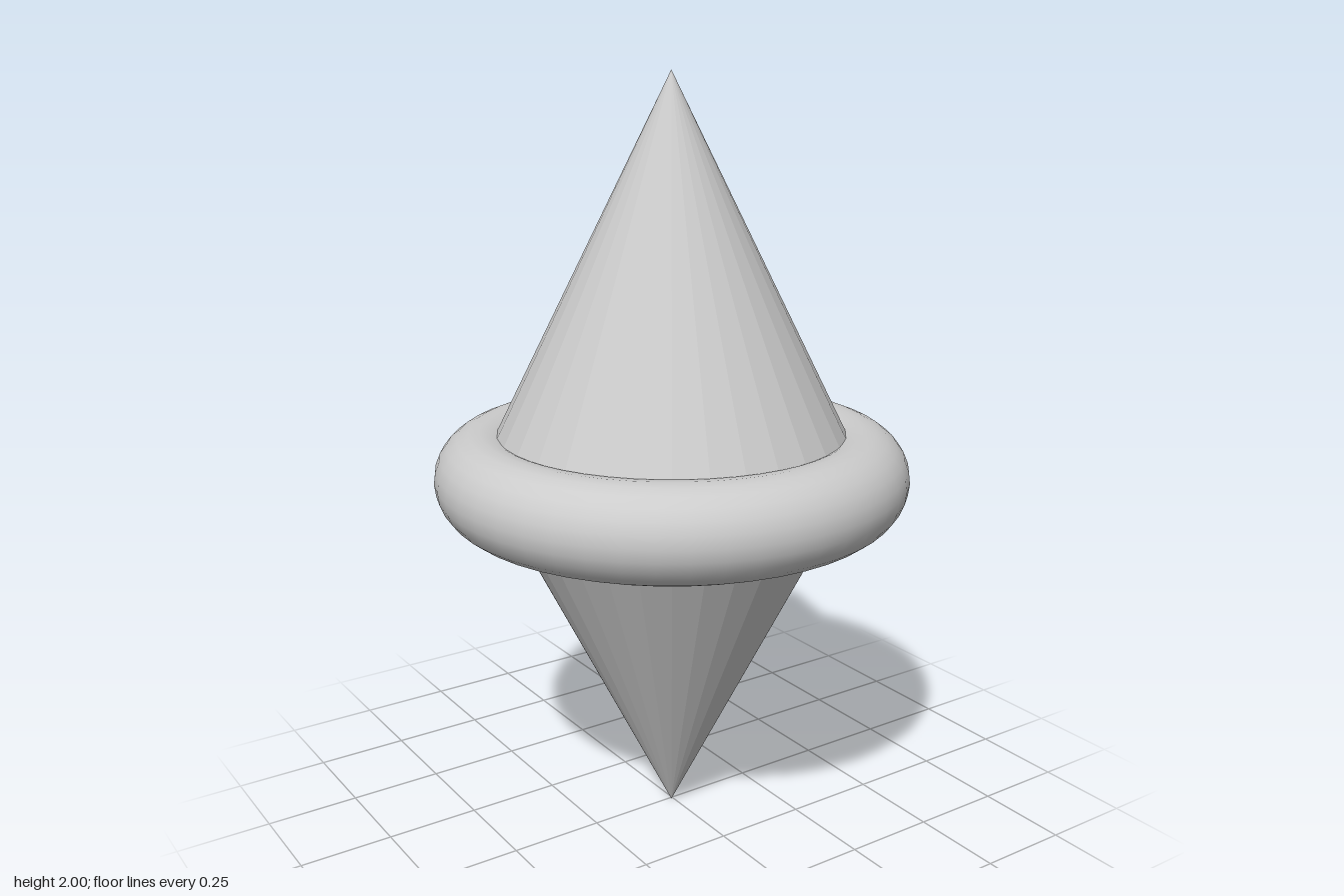
import * as THREE from 'three';

export function createModel() {
  const group = new THREE.Group();
  const faceted = new THREE.MeshStandardMaterial({ color: 0xcccccc, flatShading: true });
  const smooth = new THREE.MeshStandardMaterial({ color: 0xcccccc });

  // Two mirrored cones joined base to base, set slightly off the ring's axis
  for (const [name, y, flip] of [['upperCone', 1.5, 0], ['lowerCone', 0.5, Math.PI]]) {
    const cone = new THREE.Mesh(new THREE.ConeGeometry(0.5, 1, 32), faceted);
    cone.name = name;
    cone.position.set(-0.006, y, 0.006);
    cone.rotation.x = flip;
    group.add(cone);
  }

  // Rounded ring around the waist
  const ring = new THREE.Mesh(new THREE.TorusGeometry(0.501, 0.124, 24, 48), smooth);
  ring.name = 'waistRing';
  ring.rotation.x = Math.PI / 2;
  ring.position.y = 0.971;
  group.add(ring);

  return group;
}
